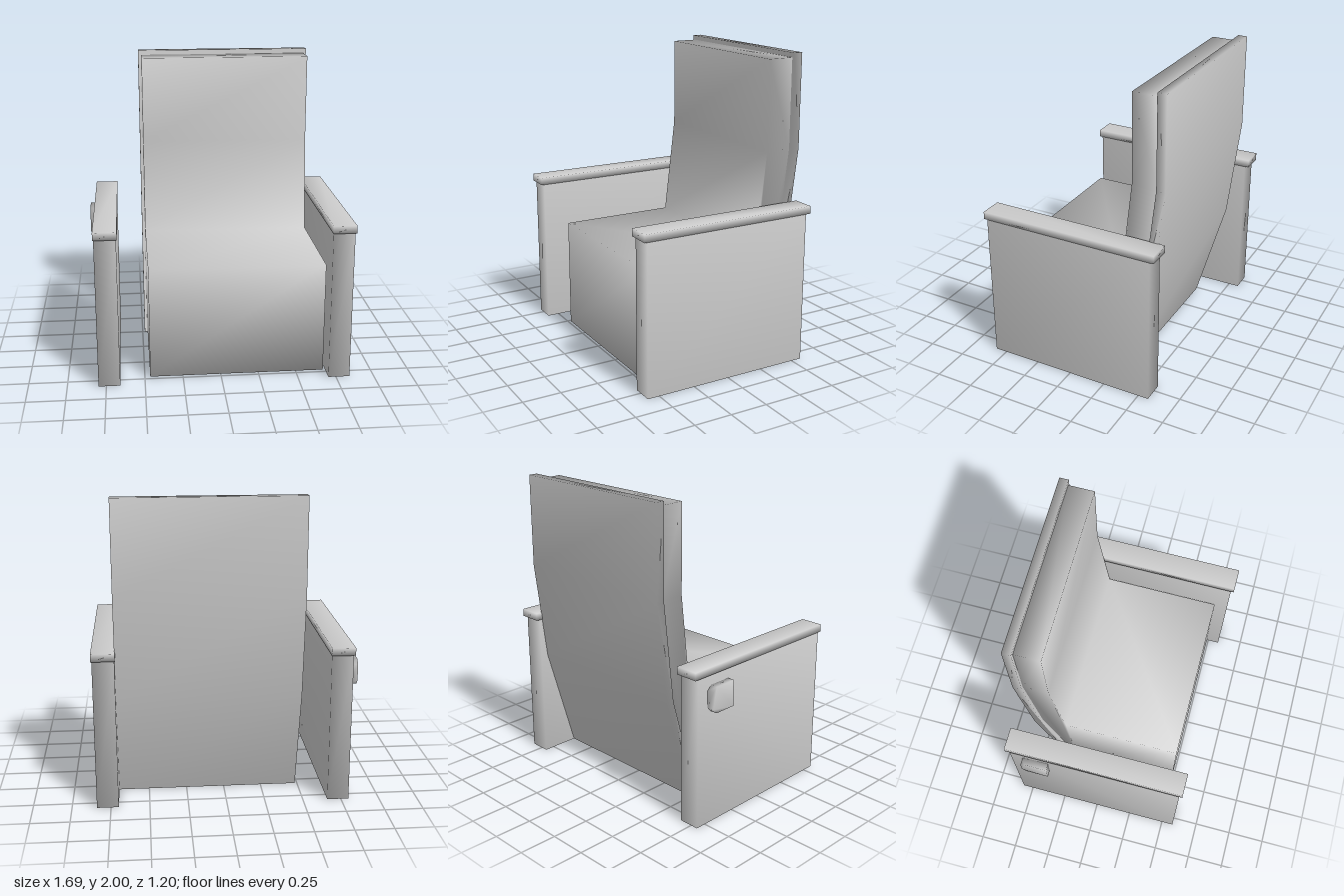
import * as THREE from 'three';
import { mergeVertices } from 'three/addons/utils/BufferGeometryUtils.js';

const material = new THREE.MeshStandardMaterial({ color: 0xcccccc });

// Extrudes a side profile of [z, y] points from x0 to x1, with soft shared normals.
function profilePart(name, points, x0, x1) {
  const shape = new THREE.Shape(points.map(([z, y]) => new THREE.Vector2(-z, y)));
  let geometry = new THREE.ExtrudeGeometry(shape, { depth: x1 - x0, bevelEnabled: false });
  geometry.rotateY(Math.PI / 2).translate(x0, 0, 0);
  geometry.deleteAttribute('uv');
  geometry.deleteAttribute('normal');
  geometry = mergeVertices(geometry, 1e-4);
  geometry.computeVertexNormals();
  const mesh = new THREE.Mesh(geometry, material);
  mesh.name = name;
  return mesh;
}

const rect = (z0, z1, y0, y1) => [[z0, y0], [z1, y0], [z1, y1], [z0, y1]];

// Arm panel with a slightly overhanging cap
function arm(name, x0, x1) {
  const group = new THREE.Group();
  group.name = name;
  group.add(
    profilePart('armPanel', rect(-0.57, 0.58, 0, 1), x0, x1),
    profilePart('armCap', rect(-0.6, 0.6, 0.995, 1.045), x0 - 0.005, x1 + 0.005),
  );
  return group;
}

export function createModel() {
  const chair = new THREE.Group();
  chair.name = 'armchair';

  // Bent rear shell, running from the floor to the top
  chair.add(profilePart('backShell', [
    [-0.25, 0], [-0.46, 0.72], [-0.54, 1.39], [-0.54, 2],
    [-0.6, 2], [-0.6, 1.39], [-0.517, 0.72], [-0.31, 0],
  ], -0.485, 0.7));

  // Seat and back upholstery in one L-shaped body
  chair.add(profilePart('upholstery', [
    [0.49, 0.01], [0.49, 0.75], [-0.295, 0.75], [-0.37, 1.39], [-0.37, 1.97],
    [-0.54, 1.97], [-0.54, 1.39], [-0.46, 0.72], [-0.253, 0.01],
  ], -0.465, 0.68));

  // Arms
  chair.add(arm('leftArm', 0.7, 0.84), arm('rightArm', -0.8, -0.66));

  // Control block on the outside of the right arm, rear corners clipped
  chair.add(profilePart('controlBlock', [
    [-0.46, 0.76], [-0.31, 0.76], [-0.31, 0.93], [-0.46, 0.93], [-0.49, 0.9], [-0.49, 0.79],
  ], -0.847, -0.8));

  return chair;
}
